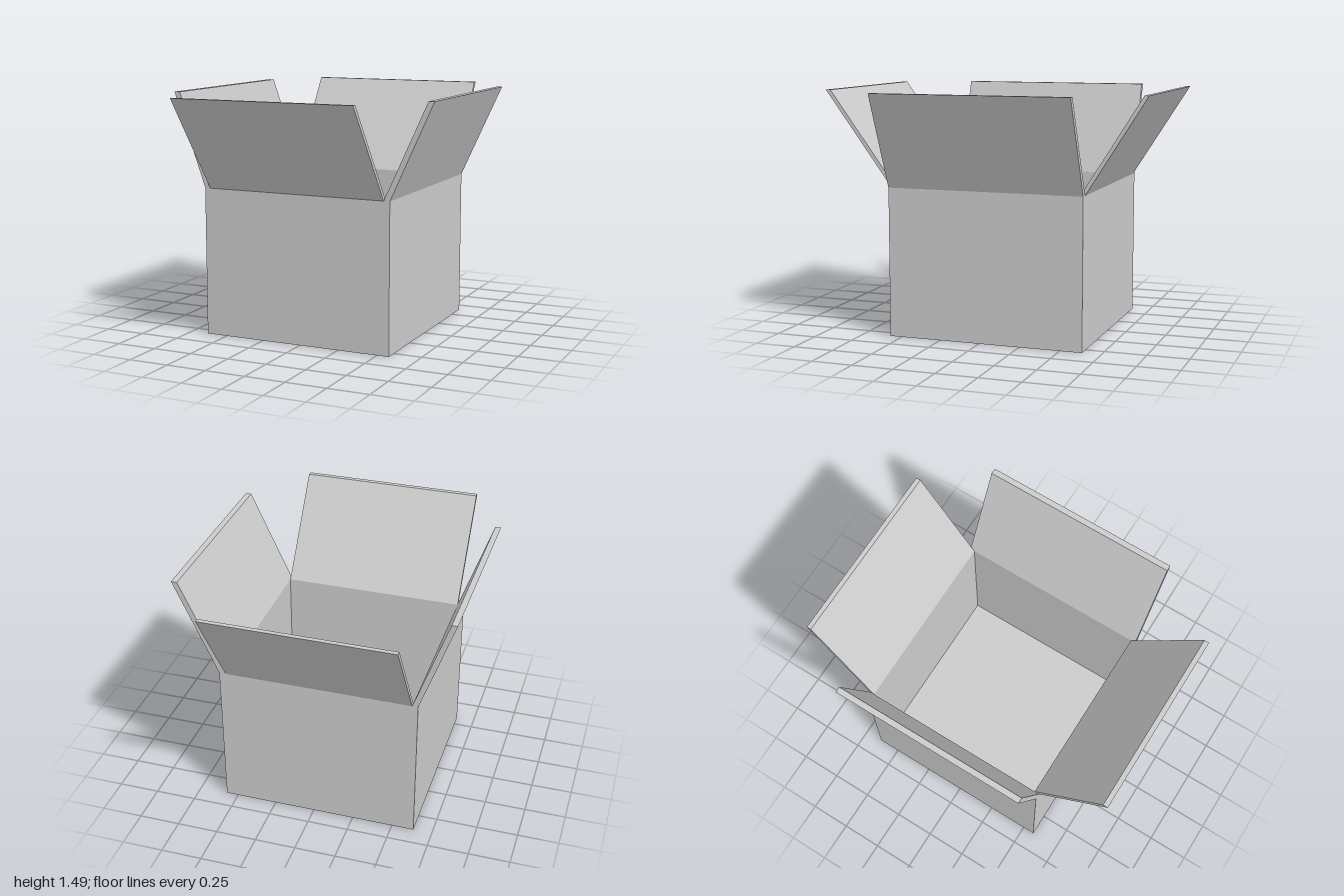
import * as THREE from 'three';

const LO = -0.635, HI = 0.575;          // outer faces, same in x and z
const X0 = -0.6, X1 = 0.537;            // inner faces of the side walls
const Z0 = -0.607, Z1 = 0.545;          // inner faces of the front and back walls
const RIM = 0.91, TIP = 1.485, FLOOR = 0.035;

const polygon = (points) => new THREE.Shape(points.map(([a, b]) => new THREE.Vector2(a, b)));
const rectangle = (a0, b0, a1, b1) => polygon([[a0, b0], [a1, b0], [a1, b1], [a0, b1]]);
const extrude = (shape, depth) => new THREE.ExtrudeGeometry(shape, { depth, bevelEnabled: false });

// Slanted cross-section of a flap, from the rim up to its tip
const flapSection = (outer, inner, tipOuter, tipInner) =>
  polygon([[outer, RIM], [inner, RIM], [tipInner, TIP], [tipOuter, TIP]]);

export function createModel() {
  const group = new THREE.Group();
  const material = new THREE.MeshStandardMaterial({ color: 0xcccccc, flatShading: true });
  const add = (name, geometry) => {
    const mesh = new THREE.Mesh(geometry, material);
    mesh.name = name;
    group.add(mesh);
  };

  // Four walls as one hollow ring standing on the floor panel
  const ring = rectangle(LO, LO, HI, HI);
  ring.holes.push(rectangle(X0, Z0, X1, Z1));
  add('walls', extrude(ring, RIM - FLOOR).rotateX(Math.PI / 2).translate(0, RIM, 0));
  add('floor', extrude(rectangle(LO, LO, HI, HI), FLOOR).rotateX(Math.PI / 2).translate(0, FLOOR, 0));

  // Side flaps run the full depth of the box
  for (const [name, ...section] of [
    ['leftFlap', HI, X1, 0.838, 0.802],
    ['rightFlap', LO, X0, -0.838, -0.802],
  ]) add(name, extrude(flapSection(...section), HI - LO).translate(0, 0, LO));

  // Front and back flaps fit between the side walls
  for (const [name, ...section] of [
    ['frontFlap', HI, Z1, 1, 0.97],
    ['backFlap', LO, Z0, -1, -0.972],
  ]) add(name, extrude(flapSection(...section), X1 - X0).rotateY(-Math.PI / 2).translate(X1, 0, 0));

  return group;
}
